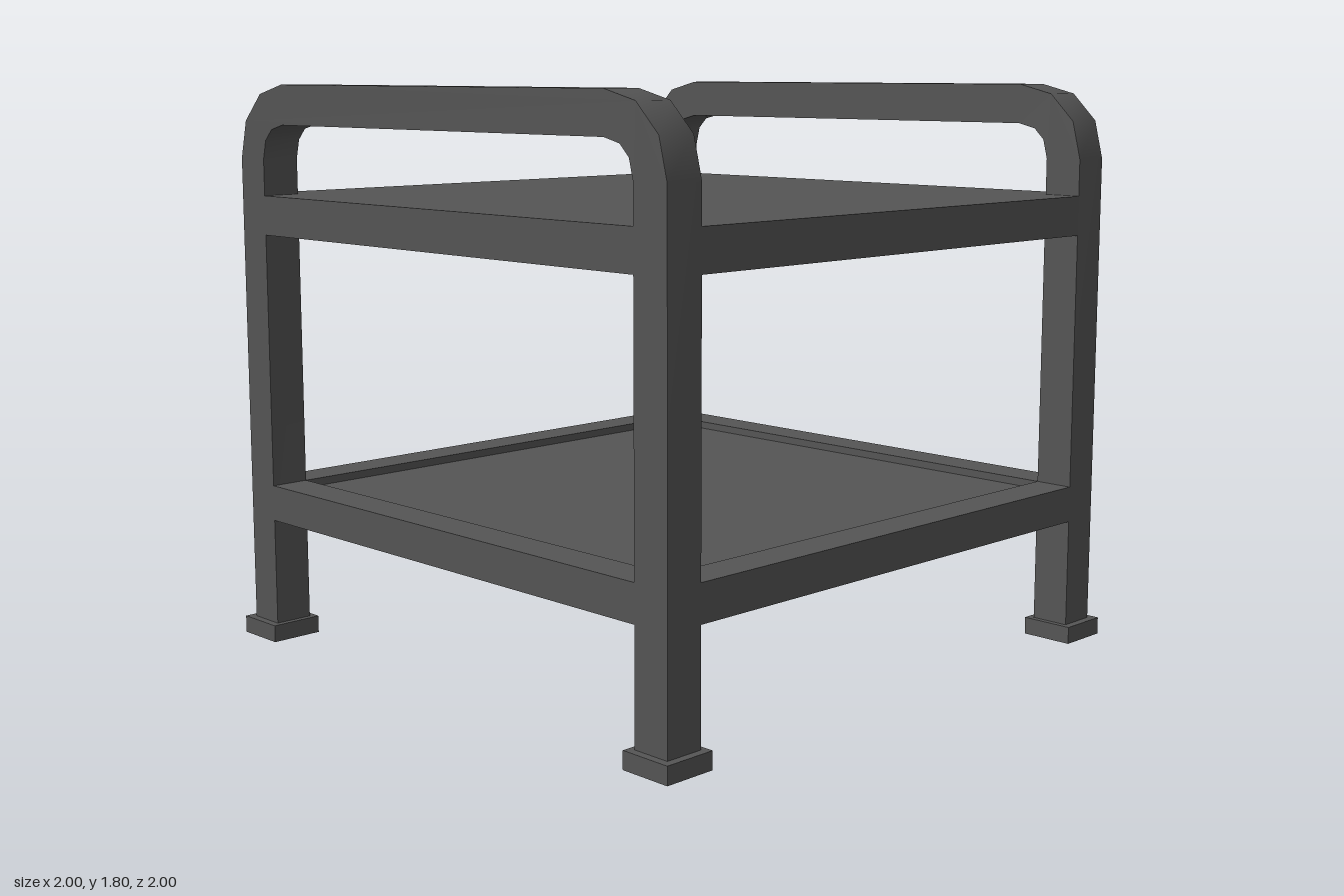
import * as THREE from 'three';
import { toCreasedNormals } from 'three/addons/utils/BufferGeometryUtils.js';

const OUT = 0.975, IN = 0.85, TUBE = OUT - IN, MID = (OUT + IN) / 2;

export function createModel() {
  const model = new THREE.Group();
  const metal = new THREE.MeshStandardMaterial({ color: 0x555555 });
  metal.name = 'darkGrey';

  const add = (name, geometry, x = 0, y = 0, z = 0) => {
    const mesh = new THREE.Mesh(geometry, metal);
    mesh.name = name;
    mesh.position.set(x, y, z);
    model.add(mesh);
    return mesh;
  };
  const box = (name, w, h, d, x, y, z) => add(name, new THREE.BoxGeometry(w, h, d), x, y, z);

  // Side frames: two legs joined by a bent armrest, drawn in the z-y plane
  const legBottom = 0.02;
  const outer = [[OUT, legBottom], [OUT, 1.57], [0.945, 1.69], [0.86, 1.775], [0.74, 1.805]];
  const inner = [[0.74, 1.68], [0.80, 1.665], [0.835, 1.63], [IN, 1.57], [IN, legBottom]];
  const flip = (pts) => pts.map(([z, y]) => [-z, y]).reverse();
  const outline = [...outer, ...flip(outer), ...flip(inner), ...inner];
  const frame = toCreasedNormals(new THREE.ExtrudeGeometry(
    new THREE.Shape(outline.map(([z, y]) => new THREE.Vector2(z, y))),
    { depth: TUBE, bevelEnabled: false }
  ).translate(0, 0, -TUBE / 2).rotateY(Math.PI / 2), 0.7);
  for (const s of [-1, 1]) add(s > 0 ? 'leftSideFrame' : 'rightSideFrame', frame, s * MID);

  // Solid top shelf, notched around the legs
  box('topShelf', 2 * IN, 0.125, 2 * OUT, 0, 1.3925, 0);
  for (const s of [-1, 1]) box('topShelfSide', TUBE, 0.125, 2 * IN, s * MID, 1.3925, 0);

  // Lower shelf: four rails around a slightly recessed panel
  for (const s of [-1, 1]) {
    box('lowerCrossRail', 2 * IN, 0.115, TUBE, 0, 0.4575, s * MID);
    box('lowerSideRail', TUBE, 0.115, 2 * IN, s * MID, 0.4575, 0);
  }
  box('lowerPanel', 2 * IN, 0.085, 2 * IN, 0, 0.4475, 0);

  // Feet: square caps with a hole underneath
  const square = (Type, r) => new Type([[-r, -r], [r, -r], [r, r], [-r, r]].map(([x, y]) => new THREE.Vector2(x, y)));
  const footShape = square(THREE.Shape, 0.085);
  footShape.holes.push(square(THREE.Path, 0.045));
  const foot = new THREE.ExtrudeGeometry(footShape, { depth: 0.055, bevelEnabled: false }).rotateX(-Math.PI / 2);
  for (const x of [-0.915, 0.915]) for (const z of [-0.915, 0.915]) add('foot', foot, x, 0, z);

  return model;
}
